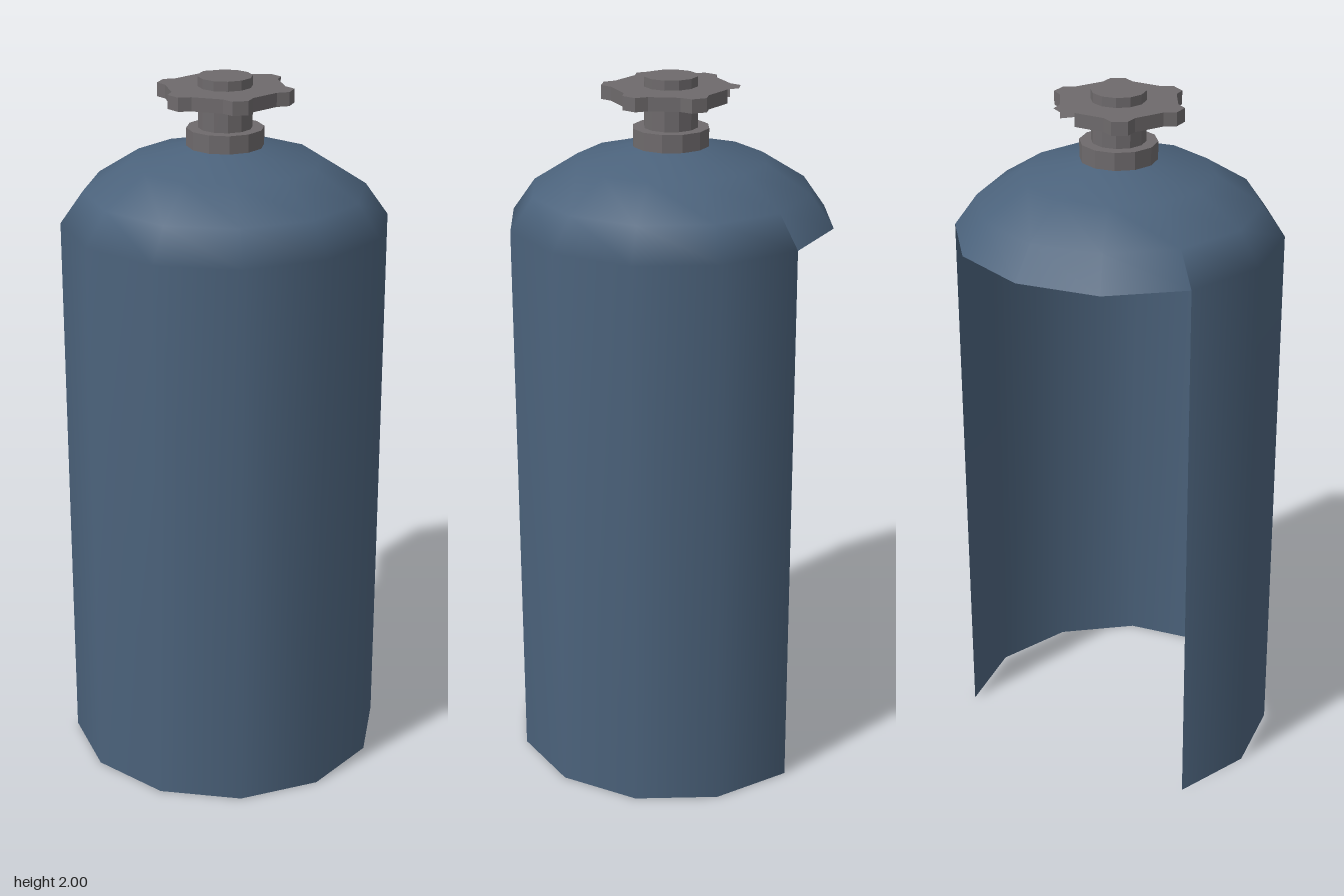
import * as THREE from 'three';

const rad = THREE.MathUtils.degToRad;

export function createModel() {
  const model = new THREE.Group();
  const blue = new THREE.MeshStandardMaterial({ color: 0x4b627b, side: THREE.DoubleSide });
  blue.name = 'steel blue';
  const grey = new THREE.MeshStandardMaterial({ color: 0x6e6a6c, side: THREE.DoubleSide });
  grey.name = 'valve grey';

  const add = (name, geometry, material, y = 0) => {
    const mesh = new THREE.Mesh(geometry, material);
    mesh.name = name;
    mesh.position.y = y;
    model.add(mesh);
  };

  // Tank shell: twelve-sided, hollow, with the back third of the wall open
  const dome = [[0.456, 1.6], [0.392, 1.69], [0.266, 1.77], [0.105, 1.81]].map((p) => new THREE.Vector2(...p));
  const wall = [new THREE.Vector2(0.456, 0), ...dome];
  add('tankShell', new THREE.LatheGeometry(wall, 8, rad(-120), rad(240)), blue);
  add('domeBack', new THREE.LatheGeometry(dome, 4, rad(120), rad(120)), blue);

  // Valve collar and stem
  const cylinder = (name, r, y0, y1) => {
    const g = new THREE.CylinderGeometry(r, r, y1 - y0, 12).toNonIndexed();
    g.computeVertexNormals();
    add(name, g, grey, (y0 + y1) / 2);
  };
  cylinder('valveCollar', 0.107, 1.81, 1.86);
  cylinder('valveStem', 0.075, 1.85, 2.0);

  // Six-lobed hand wheel; one rear lobe is only a top skin
  const outline = [];
  for (let k = 0; k < 6; k++) {
    for (const [angle, r] of [[-8, 0.162], [0, 0.188], [13, 0.189], [21, 0.163]]) {
      const a = rad(angle + 60 * k);
      outline.push([r * Math.cos(a), -r * Math.sin(a)]);
    }
  }
  const top = 1.973, bottom = 1.935;
  const v = [];
  outline.forEach(([ax, az], i) => {
    const [bx, bz] = outline[(i + 1) % outline.length];
    v.push(0, top, 0, ax, top, az, bx, top, bz);
    if (i >= 4 && i <= 6) return;
    v.push(0, bottom, 0, bx, bottom, bz, ax, bottom, az);
    v.push(ax, bottom, az, bx, bottom, bz, bx, top, bz);
    v.push(ax, bottom, az, bx, top, bz, ax, top, az);
  });
  const wheel = new THREE.BufferGeometry();
  wheel.setAttribute('position', new THREE.Float32BufferAttribute(v, 3));
  wheel.computeVertexNormals();
  add('handWheel', wheel, grey);

  return model;
}
